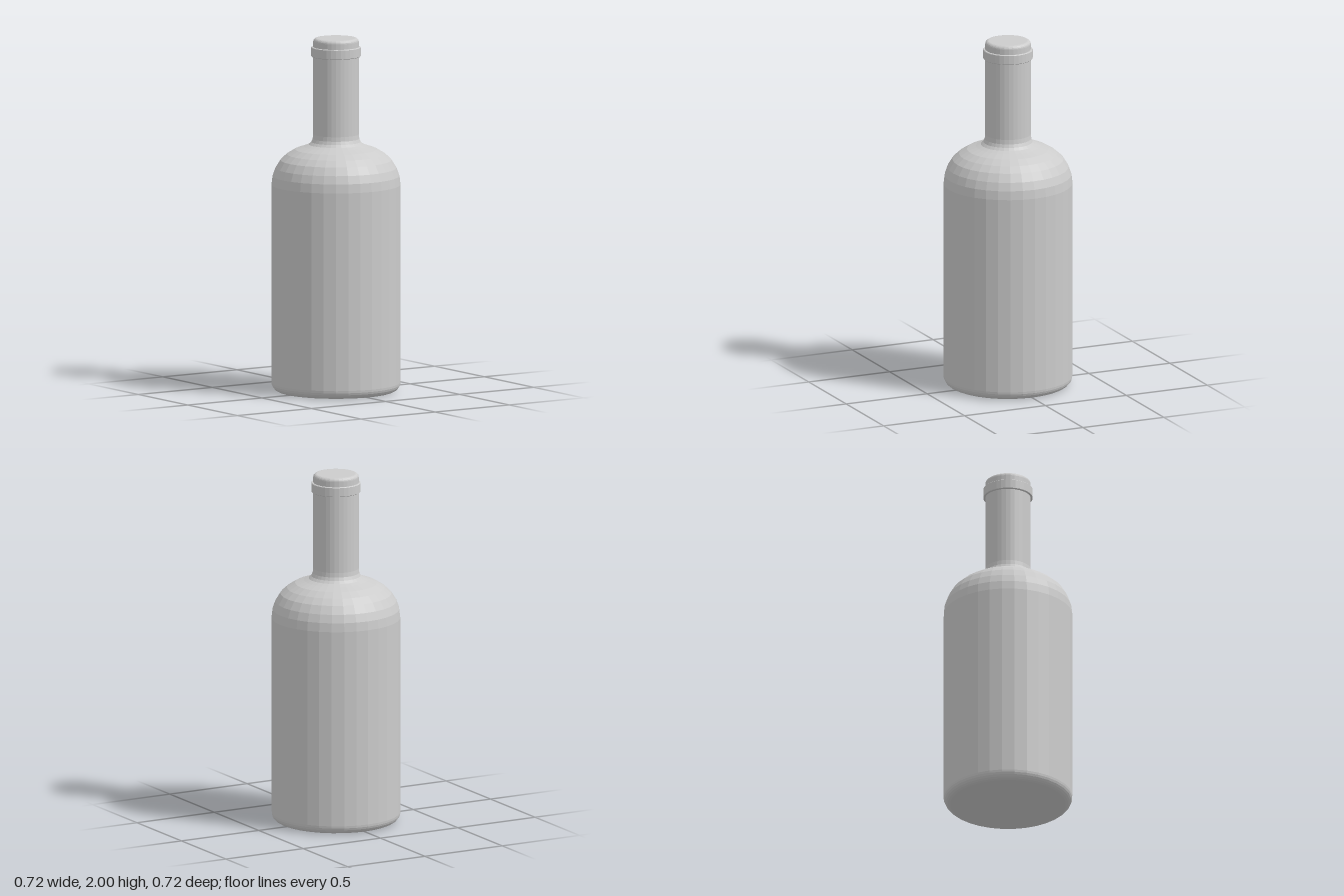
import * as THREE from 'three';

const SIDES = 32;
const material = new THREE.MeshStandardMaterial({ color: 0xcccccc, flatShading: true });

// Points of an arc around (cx, cy), angles in degrees
function arc(cx, cy, rx, ry, from, to, steps) {
  const points = [];
  for (let i = 0; i <= steps; i++) {
    const a = THREE.MathUtils.degToRad(from + ((to - from) * i) / steps);
    points.push(new THREE.Vector2(cx + rx * Math.cos(a), cy + ry * Math.sin(a)));
  }
  return points;
}

function lathe(name, points) {
  const mesh = new THREE.Mesh(new THREE.LatheGeometry(points, SIDES), material);
  mesh.name = name;
  return mesh;
}

export function createModel() {
  const group = new THREE.Group();
  group.name = 'bottle';
  const p = (x, y) => new THREE.Vector2(x, y);

  // Flat base with a rounded edge, straight wall and domed shoulder
  group.add(lathe('body', [
    p(0, 0),
    ...arc(0.312, 0.05, 0.05, 0.05, -90, 0, 6),
    p(0.362, 1.17), p(0.356, 1.22), p(0.34, 1.265), p(0.312, 1.31),
    p(0.275, 1.343), p(0.23, 1.37), p(0.18, 1.387), p(0.153, 1.398),
  ]));

  // Concave transition into the neck, closed by a softly rounded top
  group.add(lathe('neck', [
    p(0.153, 1.398), p(0.139, 1.412), p(0.131, 1.43), p(0.128, 1.455),
    ...arc(0.108, 1.98, 0.02, 0.02, 0, 90, 5),
    p(0, 2),
  ]));

  // Raised band below the mouth
  group.add(lathe('neckRing', [
    p(0.12, 1.895), p(0.136, 1.895), p(0.139, 1.898),
    p(0.139, 1.947), p(0.136, 1.95), p(0.12, 1.95),
  ]));

  return group;
}
